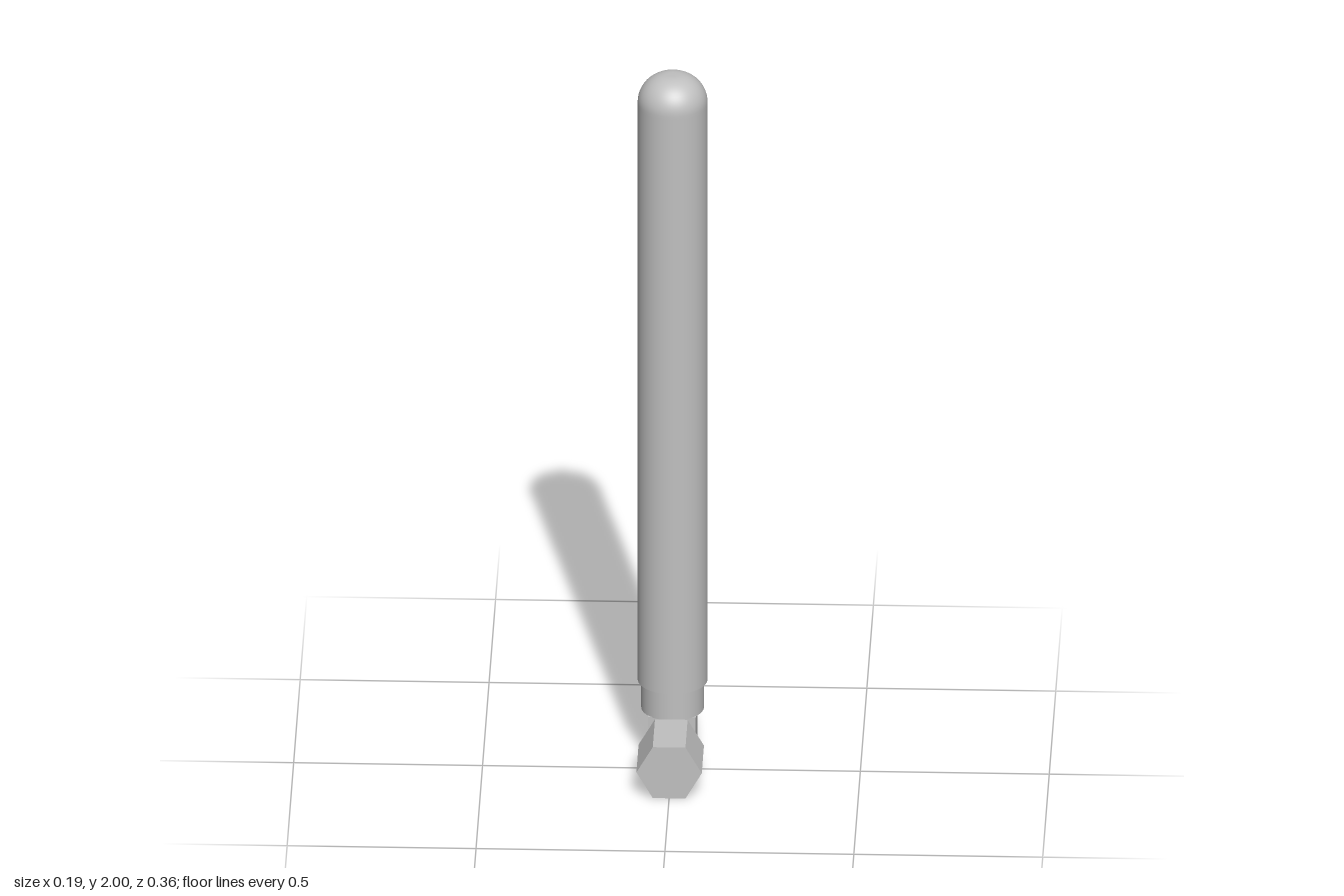
import * as THREE from 'three';

export function createModel() {
  const model = new THREE.Group();
  model.name = 'antenna';
  const grey = new THREE.MeshStandardMaterial({ color: 0xc0c0c0 });
  grey.name = 'grey';

  const axisZ = -0.09; // upright axis of the whip
  const axisY = 0.0755; // height of the connector axis

  function add(name, geometry, x, y, z) {
    const mesh = new THREE.Mesh(geometry, grey);
    mesh.name = name;
    mesh.position.set(x, y, z);
    model.add(mesh);
    return mesh;
  }

  // Whip: long tube with a rounded tip
  const radius = 0.0925, fillet = 0.08, bottom = 0.22;
  const profile = [
    new THREE.Vector2(radius, bottom),
    new THREE.Vector2(radius, 2 - fillet - 0.01),
  ];
  for (let i = 0; i <= 14; i++) {
    const a = (i / 14) * Math.PI / 2;
    profile.push(new THREE.Vector2(
      radius - fillet + fillet * Math.cos(a),
      2 - fillet + fillet * Math.sin(a)));
  }
  profile.push(new THREE.Vector2(0, 2));
  add('whip', new THREE.LatheGeometry(profile, 64), 0, 0, axisZ);
  add('whipBase', new THREE.CircleGeometry(radius, 64).rotateX(Math.PI / 2), 0, bottom, axisZ);

  // Collar under the whip
  add('collar', new THREE.CylinderGeometry(0.083, 0.083, 0.082, 64), 0, 0.18, axisZ + 0.003);

  // Square elbow block
  add('elbowBlock', new THREE.BoxGeometry(0.127, 0.118, 0.127), 0, 0.081, axisZ + 0.004);

  // Round neck from the elbow to the nut
  add('neck', new THREE.CylinderGeometry(0.055, 0.055, 0.05, 48).rotateX(Math.PI / 2), 0, axisY + 0.003, -0.008);

  // Hexagonal nut, corners pointing sideways
  const hex = new THREE.CylinderGeometry(0.0865, 0.0865, 0.168, 6).toNonIndexed();
  hex.rotateY(Math.PI / 6).rotateX(Math.PI / 2);
  hex.computeVertexNormals();
  add('hexNut', hex, 0, axisY, 0.096);

  return model;
}
